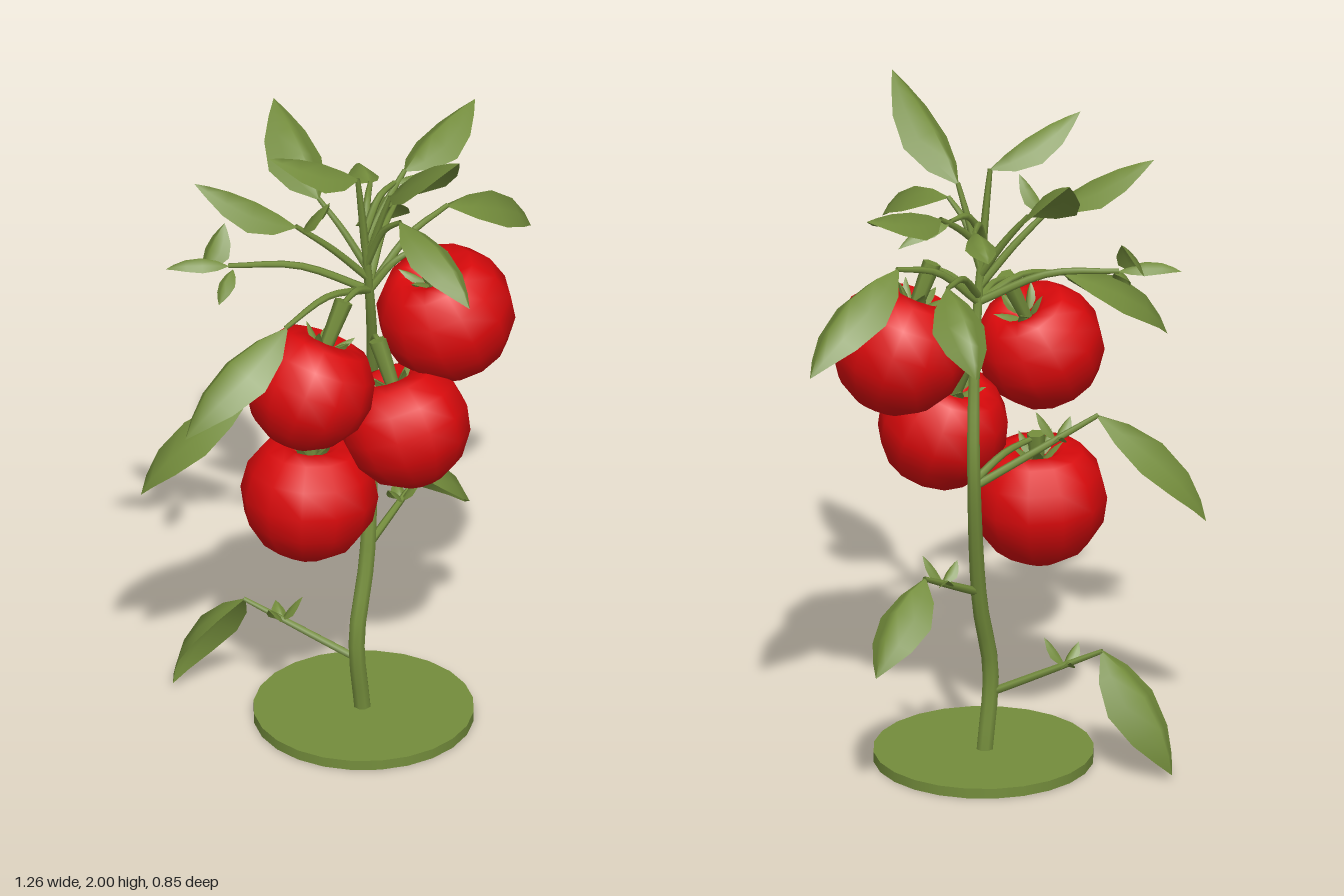
import * as THREE from 'three';

const V = (p) => new THREE.Vector3(...p);

export function createModel() {
  const green = new THREE.MeshStandardMaterial({ color: 0x748d3c, side: THREE.DoubleSide });
  green.name = 'leaf green';
  const red = new THREE.MeshStandardMaterial({ color: 0xd9090b });
  red.name = 'ripe red';
  const brown = new THREE.MeshStandardMaterial({ color: 0x745b36 });
  brown.name = 'soil brown';

  const plant = new THREE.Group();
  plant.name = 'fruitingPlant';
  const add = (parent, geometry, material, name) => {
    const mesh = new THREE.Mesh(geometry, material);
    mesh.name = name;
    parent.add(mesh);
    return mesh;
  };

  // Tube that thins out towards its end
  const taperedTube = (curve, rings, r0, r1, sides, name) => {
    const geo = new THREE.TubeGeometry(curve, rings, 1, sides);
    const pos = geo.attributes.position;
    const c = new THREE.Vector3(), v = new THREE.Vector3();
    for (let i = 0; i < pos.count; i++) {
      const t = Math.floor(i / (sides + 1)) / rings;
      curve.getPointAt(t, c);
      v.fromBufferAttribute(pos, i).sub(c).multiplyScalar(r0 + (r1 - r0) * t * t).add(c);
      pos.setXYZ(i, v.x, v.y, v.z);
    }
    add(plant, geo, green, name);
  };

  // Pointed leaf: arched midrib with the two halves folded down from it, rolled about its length
  const sections = [[0, 0.06], [0.18, 0.66], [0.42, 1], [0.68, 0.78], [0.87, 0.36], [1, 0]];
  const leaf = (parent, base, tip, width, name, roll = 0) => {
    const dir = tip.clone().sub(base), length = dir.length();
    const arch = dir.y > 0 ? 0.07 : 0.17;
    dir.normalize();
    const side = new THREE.Vector3().crossVectors(dir, new THREE.Vector3(0, 1, 0)).normalize();
    side.applyAxisAngle(dir, roll);
    const up = new THREE.Vector3().crossVectors(side, dir);
    const pos = [], index = [];
    sections.forEach(([t, w], i) => {
      for (let j = 0; j < 5; j++) {
        const half = (j / 2 - 1) * w * width / 2;
        const lift = arch * length * 4 * t * (1 - t) - Math.abs(half) * 0.85;
        const p = base.clone().addScaledVector(dir, t * length)
          .addScaledVector(side, half).addScaledVector(up, lift);
        pos.push(p.x, p.y, p.z);
        const n = i * 5 + j;
        if (i && j) index.push(n - 6, n - 5, n - 1, n - 5, n, n - 1);
      }
    });
    const geo = new THREE.BufferGeometry();
    geo.setAttribute('position', new THREE.Float32BufferAttribute(pos, 3));
    geo.setIndex(index);
    geo.computeVertexNormals();
    add(parent, geo, green, name);
  };

  // Round base with an earthy underside
  const base = add(plant, new THREE.CylinderGeometry(0.317, 0.317, 0.03, 24), [green, green, brown], 'base');
  base.position.set(0.004, 0.015, -0.005);

  // Main stem
  const stem = new THREE.CatmullRomCurve3([[0.003, 0.02, -0.01], [-0.02, 0.26, 0], [0.03, 0.5, -0.04],
    [0.075, 0.93, -0.11], [0.055, 1.17, -0.06], [0.02, 1.4, 0], [-0.02, 1.75, 0.02]].map(V));
  taperedTube(stem, 24, 0.025, 0.008, 8, 'mainStem');
  const stemPoints = stem.getSpacedPoints(200);
  const stemAt = (y) => stemPoints.find((p) => p.y >= y);

  // Stalk from the stem at a given height to an end point, bowed upwards by lift
  const stalk = (y, end, lift, name) => {
    const start = stemAt(y);
    const middle = start.clone().lerp(end, 0.5);
    middle.y += lift;
    const curve = new THREE.CatmullRomCurve3([start, middle, end]);
    taperedTube(curve, 8, 0.012, 0.007, 6, name);
    return curve;
  };

  // Low leaves: stem height, leaf base, leaf tip, width, roll; leaflets fan out along each stalk
  const lowLeaves = [
    [0.19, [-0.29, 0.355, -0.19], [-0.435, 0.015, -0.365], 0.18, 0.35],
    [0.53, [0.25, 0.65, -0.17], [0.46, 0.43, -0.325], 0.17, 0],
    [0.88, [-0.3, 1.06, -0.13], [-0.585, 0.735, -0.25], 0.19, 0],
  ];
  lowLeaves.forEach(([y, from, to, width, roll]) => {
    const node = stalk(y, V(from), 0, 'leafStalk').getPointAt(0.66);
    for (let i = 0; i < 3; i++) {
      const a = 0.6 + i * 2.1;
      const tip = node.clone().add(V([Math.cos(a) * 0.06, 0.08 - i * 0.025, Math.sin(a) * 0.06]));
      leaf(plant, node, tip, 0.045, 'leaflet');
    }
    leaf(plant, V(from), V(to), width, 'leaf', roll);
  });

  // Crown leaves, the last three being small
  const crownLeaves = [
    [1.4, [-0.29, 1.41, 0.11], [-0.63, 1.15, 0.17], 0.2],
    [1.45, [-0.21, 1.67, 0], [-0.48, 1.815, -0.11], 0.15],
    [1.55, [-0.03, 1.8, 0.03], [-0.31, 1.935, 0.035], 0.14],
    [1.5, [0.05, 1.75, 0.08], [0.135, 2.0, 0.38], 0.155],
    [1.56, [0.17, 1.72, -0.09], [0.455, 1.81, -0.24], 0.15],
    [1.4, [0.3, 1.58, -0.08], [0.63, 1.35, -0.24], 0.19],
    [1.42, [0.19, 1.55, -0.2], [0.19, 1.35, -0.425], 0.16],
    [1.48, [-0.1, 1.69, -0.09], [-0.12, 1.88, -0.365], 0.17],
    [1.5, [0.06, 1.69, 0.13], [0.15, 1.535, 0.42], 0.14],
    [1.4, [-0.36, 1.5, -0.14], [-0.53, 1.495, -0.2], 0.07],
    [1.58, [0.08, 1.68, -0.13], [0.1, 1.645, -0.29], 0.09],
    [1.6, [0.13, 1.7, -0.07], [0.3, 1.645, -0.09], 0.07],
  ];
  crownLeaves.forEach(([y, from, to, width]) => {
    stalk(y, V(from), from[1] > to[1] ? 0.04 : 0.01, 'leafStalk');
    leaf(plant, V(from), V(to), width, 'leaf');
  });

  // Side leaflets on the left sprig and the upper left stalk
  leaf(plant, V([-0.43, 1.49, -0.16]), V([-0.345, 1.605, -0.2]), 0.09, 'leaflet');
  leaf(plant, V([-0.35, 1.49, -0.13]), V([-0.42, 1.42, -0.07]), 0.05, 'leaflet');
  leaf(plant, V([-0.19, 1.65, 0]), V([-0.13, 1.76, 0.06]), 0.07, 'leaflet');

  // Fruits: dimpled low-sided bodies, each with a pedicel, a small calyx and a twig to the stem
  const profile = [[0, -0.95], [0.33, -0.91], [0.68, -0.7], [0.93, -0.33], [1, 0.06], [0.91, 0.46],
    [0.67, 0.77], [0.42, 0.84], [0.18, 0.68], [0, 0.5]];
  const fruits = [
    // centre, radius, tilt x, tilt z, pedicel top, height of the twig on the stem
    [[-0.217, 1.194, 0.11], 0.187, -0.1, -0.45, 0.275, 1.4],
    [[0.25, 1.287, 0.027], 0.2, 0, 0.38, 0.27, 1.4],
    [[0.09, 0.995, 0.1], 0.189, -0.3, 0.2, 0.27, 1.19],
    [[-0.168, 0.77, 0], 0.199, -0.05, -0.06, 0.21, 0.9],
  ];
  fruits.forEach(([centre, r, rx, rz, top, y]) => {
    const fruit = new THREE.Group();
    fruit.name = 'fruit';
    fruit.position.set(...centre);
    fruit.rotation.set(rx, 0, rz);
    plant.add(fruit);
    const outline = profile.map(([px, py]) => new THREE.Vector2(px * r, py * r));
    add(fruit, new THREE.LatheGeometry(outline, 12), red, 'fruitBody');
    const low = r * 0.45;
    const pedicel = add(fruit, new THREE.CylinderGeometry(0.027, 0.018, top - low, 6), green, 'pedicel');
    pedicel.position.y = (top + low) / 2;
    for (let i = 0; i < 5; i++) {
      const a = i * Math.PI * 2 / 5, c = Math.cos(a), s = Math.sin(a);
      leaf(fruit, V([c * 0.015, r * 0.65, s * 0.015]), V([c * 0.08, r * 0.96, s * 0.08]), 0.035, 'sepal');
    }
    stalk(y, V([0, top - 0.01, 0]).applyEuler(fruit.rotation).add(fruit.position), 0.02, 'fruitTwig');
  });

  return plant;
}
